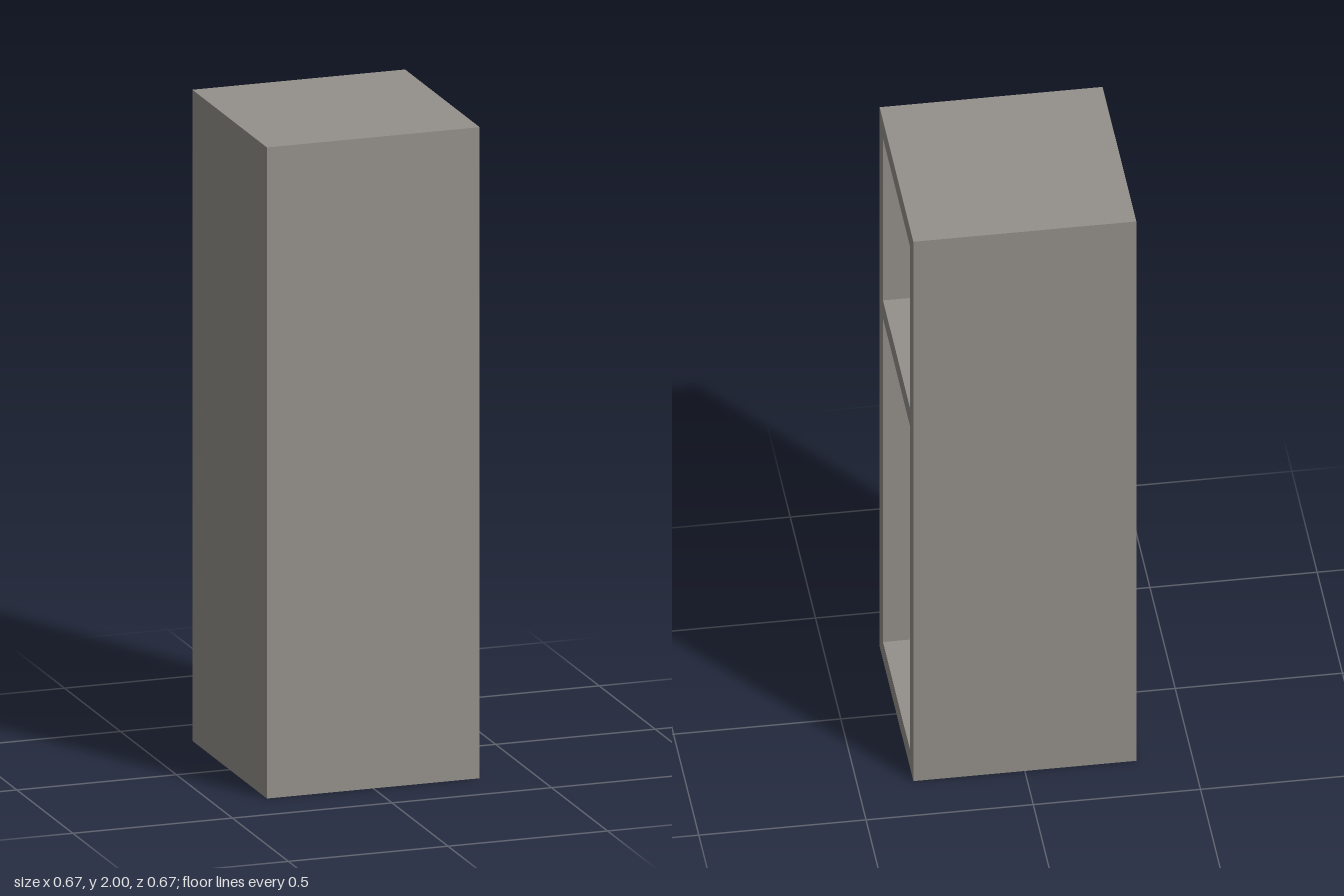
import * as THREE from 'three';

const W = 2 / 3;      // width and depth of the cabinet
const H = 2;          // height
const T = 1 / 15;     // board thickness
const SHELF_Y = 1.3;  // centre height of the shelf

// Rectangle centred on x = 0, drawn on a Shape or Path
function rect(path, halfWidth, y0, y1) {
  path.moveTo(-halfWidth, y0);
  path.lineTo(halfWidth, y0);
  path.lineTo(halfWidth, y1);
  path.lineTo(-halfWidth, y1);
  path.closePath();
  return path;
}

export function createModel() {
  const group = new THREE.Group();
  group.name = 'cabinet';
  const material = new THREE.MeshStandardMaterial({ color: 0x94908b }); // warm grey

  // Frame: sides, top, bottom and shelf, with both compartments open to +x
  const profile = rect(new THREE.Shape(), W / 2, 0, H);
  const compartments = [[T, SHELF_Y - T / 2], [SHELF_Y + T / 2, H - T]];
  for (const [y0, y1] of compartments) {
    profile.holes.push(rect(new THREE.Path(), W / 2 - T, y0, y1));
  }
  const frameGeometry = new THREE.ExtrudeGeometry(profile, { depth: W - T, bevelEnabled: false });
  frameGeometry.rotateY(Math.PI / 2);
  frameGeometry.translate(-W / 2 + T, 0, 0);
  const frame = new THREE.Mesh(frameGeometry, material);
  frame.name = 'frameWithShelf';
  group.add(frame);

  // Closed panel on the -x side
  const panel = new THREE.Mesh(new THREE.BoxGeometry(T, H, W), material);
  panel.name = 'closingPanel';
  panel.position.set(-W / 2 + T / 2, H / 2, 0);
  group.add(panel);

  return group;
}
